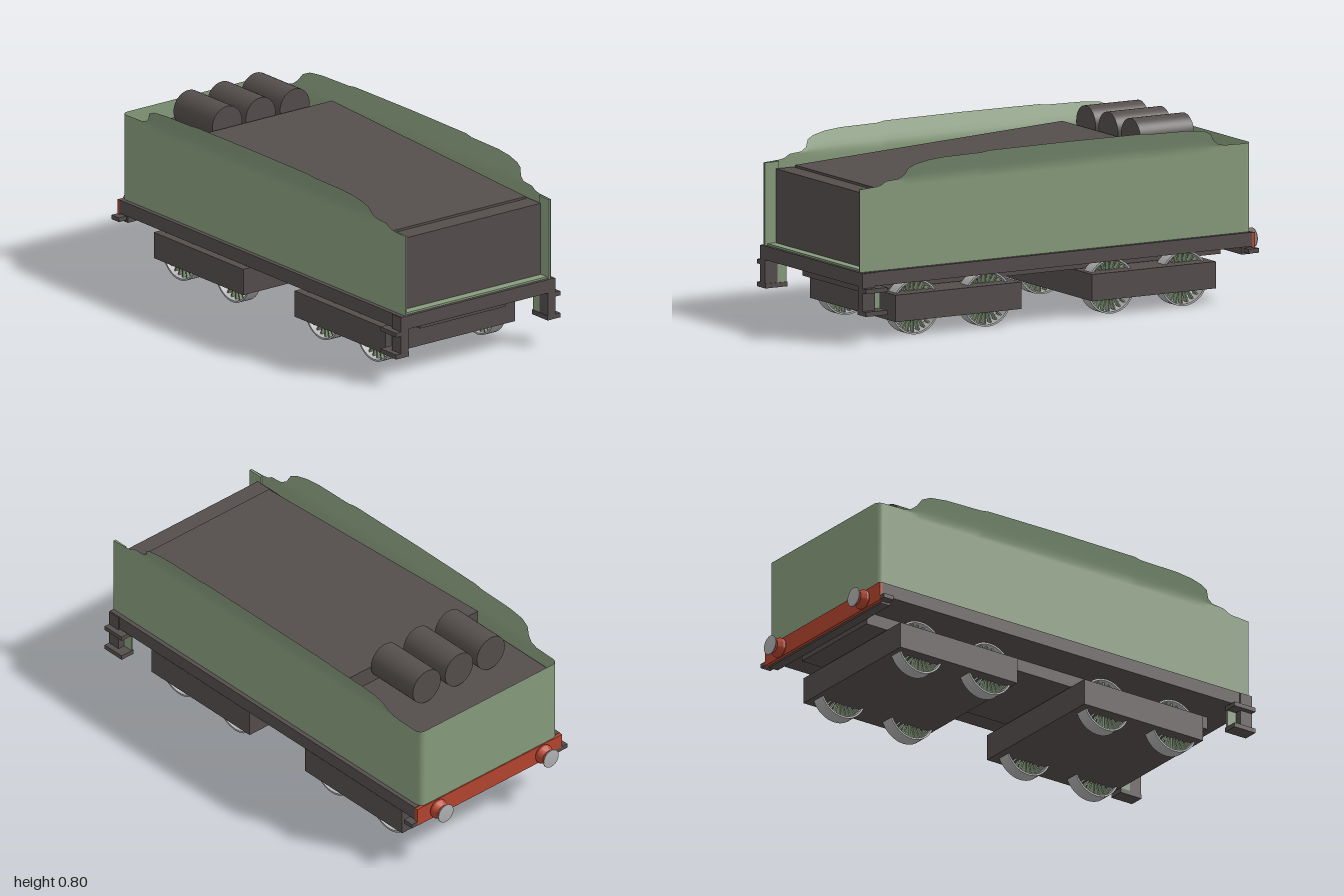
import * as THREE from 'three';
import { mergeGeometries, toCreasedNormals } from 'three/addons/utils/BufferGeometryUtils.js';

const mat = (name, color, side = THREE.FrontSide) => {
  const m = new THREE.MeshStandardMaterial({ color, side });
  m.name = name;
  return m;
};

export function createModel() {
  const model = new THREE.Group();
  model.name = 'tender';
  const dark = mat('dark grey', 0x544e4c);
  const green = mat('pale green', 0x879c7d, THREE.DoubleSide);
  const red = mat('buffer red', 0xb5462f);
  const steel = mat('steel', 0xb2b2b2);

  const add = (name, geometry, material, parent = model) => {
    const mesh = new THREE.Mesh(geometry, material);
    mesh.name = name;
    parent.add(mesh);
    return mesh;
  };
  // Box given by its limits on each axis
  const box = (name, material, x0, x1, y0, y1, z0, z1, parent = model) => {
    const g = new THREE.BoxGeometry(x1 - x0, y1 - y0, z1 - z0);
    g.translate((x0 + x1) / 2, (y0 + y1) / 2, (z0 + z1) / 2);
    return add(name, g, material, parent);
  };

  // Outer shell: a U-shaped sheet whose sides flare outward above the waist
  const waist = 0.685, halfWidth = 0.39, back = -0.935, radius = 0.03;
  const profile = [
    [1, 0.66], [0.92, 0.665], [0.895, 0.67], [0.87, 0.685], [0.81, 0.69], [0.785, 0.705],
    [0.77, 0.735], [0.74, 0.75], [0.68, 0.763], [0.6, 0.77], [0.42, 0.772], [0.38, 0.778], [0, 0.78],
    [-0.38, 0.778], [-0.42, 0.773], [-0.6, 0.77], [-0.68, 0.762], [-0.72, 0.745], [-0.74, 0.715],
    [-0.765, 0.695], [-0.8, 0.687], [-0.88, waist],
  ];
  const half = profile.map(([z, top]) => ({ x: halfWidth, z, top }));
  for (let i = 0; i <= 6; i++) {
    const a = (i / 6) * Math.PI / 2;
    half.push({
      x: halfWidth - radius + radius * Math.cos(a),
      z: back + radius - radius * Math.sin(a),
      top: waist,
    });
  }
  const path = [...half, ...half.slice().reverse().map(p => ({ ...p, x: -p.x }))];
  const rows = 7, positions = [], index = [];
  path.forEach(({ x, z, top }, i) => {
    const low = Math.min(top - 0.003, waist - 0.005);
    const heights = [0.303, low - 0.02, low, 0.25, 0.5, 0.75, 1];
    heights.forEach((h, j) => {
      const y = j < 3 ? h : low + (top - low) * h;
      const flare = 0.36 * Math.max(0, y - waist);
      positions.push(x + Math.sign(x) * flare, y, z);
      if (i && j) {
        const b = i * rows + j, a = b - rows;
        index.push(a - 1, b - 1, b, a - 1, b, a);
      }
    });
  });
  const shell = new THREE.BufferGeometry();
  shell.setAttribute('position', new THREE.Float32BufferAttribute(positions, 3));
  shell.setIndex(index);
  shell.computeVertexNormals();
  add('bodyShell', shell, green);
  for (const s of [-1, 1]) {
    box('shellFrontEdge', green, s * 0.3845 - 0.005, s * 0.3845 + 0.005, 0.305, 0.66, 0.93, 0.998);
  }
  box('frontSill', green, -0.385, 0.385, 0.303, 0.313, 0.93, 0.985);

  // Tank and the sloping cover on top of it
  box('tank', dark, -0.378, 0.378, 0.3, 0.63, -0.88, 0.945);
  const slope = new THREE.Shape([[0.86, 0.6], [0.86, 0.64], [-0.46, 0.708], [-0.46, 0.6]]
    .map(([z, y]) => new THREE.Vector2(-z, y)));
  const cover = new THREE.ExtrudeGeometry(slope, { depth: 0.73, bevelEnabled: false });
  cover.rotateY(Math.PI / 2).translate(-0.365, 0, 0);
  add('slopingCover', cover, dark);
  for (const x of [-0.19, -0.01, 0.173]) {
    const drum = add('drum', new THREE.CylinderGeometry(0.079, 0.079, 0.265, 40), dark);
    drum.rotation.x = Math.PI / 2;
    drum.position.set(x, 0.72, -0.603);
  }

  // Frame
  box('frame', dark, -0.41, 0.41, 0.245, 0.305, -0.925, 1);
  box('underframe', dark, -0.235, 0.228, 0.19, 0.25, -0.88, 0.9);
  box('rearCrossbar', dark, -0.4, 0.4, 0.212, 0.25, -0.925, -0.88);
  box('bufferBeam', red, -0.41, 0.41, 0.22, 0.303, -0.94, -0.924);

  // Steps at the four corners
  for (const s of [-1, 1]) {
    const side = (name, m, x0, x1, ...rest) =>
      box(name, m, Math.min(s * x0, s * x1), Math.max(s * x0, s * x1), ...rest);
    side('stepLeg', dark, 0.375, 0.415, 0.125, 0.303, 0.94, 1);
    side('stepBackPlate', green, 0.375, 0.383, 0.14, 0.245, 0.895, 0.942);
    side('lowerStep', dark, 0.372, 0.44, 0.123, 0.143, 0.892, 1);
    side('upperStep', dark, 0.375, 0.44, 0.221, 0.24, 0.892, 1);
    side('rearStep', dark, 0.375, 0.44, 0.221, 0.24, -0.94, -0.89);
  }

  // Buffers
  for (const x of [-0.298, 0.298]) {
    const buffer = new THREE.Group();
    buffer.name = 'buffer';
    buffer.position.set(x, 0.26, -0.935);
    buffer.rotation.x = -Math.PI / 2;
    model.add(buffer);
    const housing = [[0, 0], [0.036, 0], [0.043, 0.01], [0.043, 0.02], [0.03, 0.042], [0, 0.042]];
    const head = [[0, 0.036], [0.015, 0.036], [0.015, 0.056], [0.043, 0.058], [0.042, 0.061], [0, 0.065]];
    for (const [name, pts, m] of [['bufferHousing', housing, red], ['bufferHead', head, steel]]) {
      const g = new THREE.LatheGeometry(pts.map(p => new THREE.Vector2(...p)), 28);
      add(name, toCreasedNormals(g, 0.5), m, buffer);
    }
  }

  // Spoked wheels, modelled around the x axis
  const R = 0.118;
  const rim = toCreasedNormals(new THREE.LatheGeometry(
    [[R - 0.008, -0.031], [R, -0.031], [R, 0.031], [R - 0.008, 0.031], [R - 0.008, -0.031]]
      .map(p => new THREE.Vector2(...p)), 40).rotateZ(Math.PI / 2), 0.5);
  const spokeParts = [new THREE.CylinderGeometry(0.025, 0.025, 0.05, 20).rotateZ(Math.PI / 2)];
  for (let i = 0; i < 24; i++) {
    spokeParts.push(new THREE.BoxGeometry(0.025, 0.094, 0.006)
      .translate(0, 0.066, 0).rotateX((i / 24) * Math.PI * 2));
  }
  const spokes = mergeGeometries(spokeParts);

  // Two bogies with four wheels each
  for (const [z0, z1, axles] of [[0.18, 0.8, [0.675, 0.32]], [-0.78, -0.17, [-0.29, -0.65]]]) {
    const bogie = new THREE.Group();
    bogie.name = 'bogie';
    model.add(bogie);
    box('bogieFrame', dark, -0.34, 0.354, 0.07, 0.185, z0, z1, bogie);
    for (const z of axles) for (const x of [-0.275, 0.28]) {
      const wheel = new THREE.Group();
      wheel.name = 'wheel';
      wheel.position.set(x, R, z);
      bogie.add(wheel);
      add('wheelRim', rim, steel, wheel);
      add('wheelSpokes', spokes, green, wheel);
    }
  }
  return model;
}
